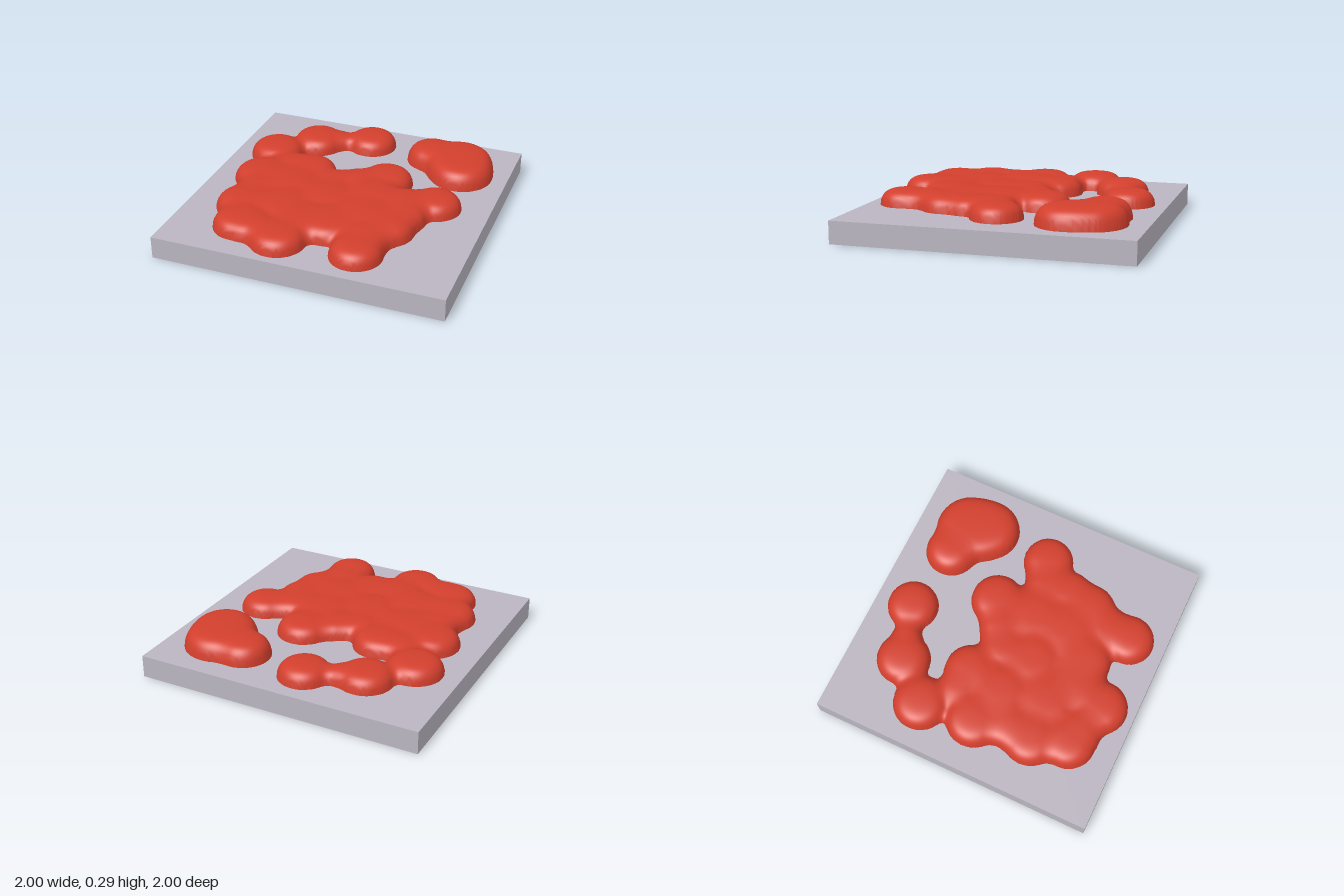
import * as THREE from 'three';
import { mergeVertices } from 'three/addons/utils/BufferGeometryUtils.js';

const SLAB = 0.155;

// Plan outline of merged drops: negative inside, smooth union of [x, z, radius]
function makeField(drops, blend) {
  return (x, z) => {
    let d = Infinity;
    for (const [cx, cz, r] of drops) {
      const e = ((x - cx) ** 2 + (z - cz) ** 2 - r * r) / (2 * r);
      const h = Math.max(blend - Math.abs(d - e), 0) / blend;
      d = Math.min(d, e) - (h * h * blend) / 4;
    }
    return d;
  };
}

// Domed puddle: a grid whose outer vertices slide onto the outline
function puddleGeometry(drops, blend, height) {
  const field = makeField(drops, blend);
  const plane = new THREE.PlaneGeometry(2, 2, 160, 160).rotateX(-Math.PI / 2);
  const pos = plane.attributes.position;
  const inside = [];
  const e = 0.001;
  for (let i = 0; i < pos.count; i++) {
    let x = pos.getX(i), z = pos.getZ(i);
    const d = field(x, z);
    inside.push(d < 0);
    if (d < 0) {
      const s = (-2 * d) / 0.19;
      pos.setY(i, SLAB + height * Math.sqrt(Math.tanh(1.6 * s)));
    } else if (d < 0.06) {
      for (let n = 0; n < 4; n++) {
        const f = field(x, z);
        const gx = (field(x + e, z) - field(x - e, z)) / (2 * e);
        const gz = (field(x, z + e) - field(x, z - e)) / (2 * e);
        const k = f / Math.max(gx * gx + gz * gz, 0.2);
        x -= gx * k;
        z -= gz * k;
      }
      pos.setXYZ(i, x, SLAB - 0.012, z);
    }
  }
  // keep only triangles that touch the inside
  const src = plane.index.array, kept = [];
  for (let i = 0; i < src.length; i += 3) {
    const t = [src[i], src[i + 1], src[i + 2]];
    if (t.some((v) => inside[v])) kept.push(...t);
  }
  plane.setIndex(kept);
  plane.deleteAttribute('uv');
  plane.deleteAttribute('normal');
  const geometry = mergeVertices(plane.toNonIndexed(), 1e-5);
  geometry.computeVertexNormals();
  return geometry;
}

export function createModel() {
  const group = new THREE.Group();
  const slabMaterial = new THREE.MeshStandardMaterial({ color: 0xbab5c0 });
  const redMaterial = new THREE.MeshStandardMaterial({ color: 0xd23f2d, side: THREE.DoubleSide });

  const add = (name, geometry, material) => {
    const mesh = new THREE.Mesh(geometry, material);
    mesh.name = name;
    group.add(mesh);
    return mesh;
  };

  // Square base
  add('baseSlab', new THREE.BoxGeometry(2, SLAB, 2), slabMaterial).position.y = SLAB / 2;

  // Large puddle
  const largeDrops = [
    // curling arm
    [-0.08, -0.73, 0.18], [-0.29, -0.67, 0.095], [-0.46, -0.61, 0.188], [-0.69, -0.36, 0.193],
    // left edge
    [-0.64, 0.02, 0.198], [-0.59, 0.42, 0.198], [-0.57, 0.23, 0.17], [-0.51, 0.66, 0.188],
    // front edge
    [-0.38, 0.7, 0.145], [-0.2, 0.76, 0.188], [0.05, 0.5, 0.21], [0.33, 0.74, 0.178],
    // right edge
    [0.42, 0.4, 0.185], [0.33, 0.57, 0.17], [0.46, 0.22, 0.175], [0.63, -0.01, 0.178], [0.45, 0.07, 0.17],
    // back edge
    [0.21, -0.21, 0.188], [0.04, -0.09, 0.165], [-0.12, -0.02, 0.16], [-0.34, -0.15, 0.187], [-0.5, -0.17, 0.14],
    // middle
    [-0.4, 0.1, 0.22], [-0.1, 0.2, 0.22], [0.2, 0.08, 0.22], [-0.32, 0.4, 0.22], [0.2, 0.32, 0.22], [-0.14, 0.53, 0.2],
  ];
  add('largePuddle', puddleGeometry(largeDrops, 0.07, 0.117), redMaterial);

  // Small separate puddle in the back corner
  const smallDrops = [[0.41, -0.67, 0.184], [0.62, -0.62, 0.25], [0.67, -0.5, 0.222]];
  add('smallPuddle', puddleGeometry(smallDrops, 0.06, 0.14), redMaterial);

  return group;
}
